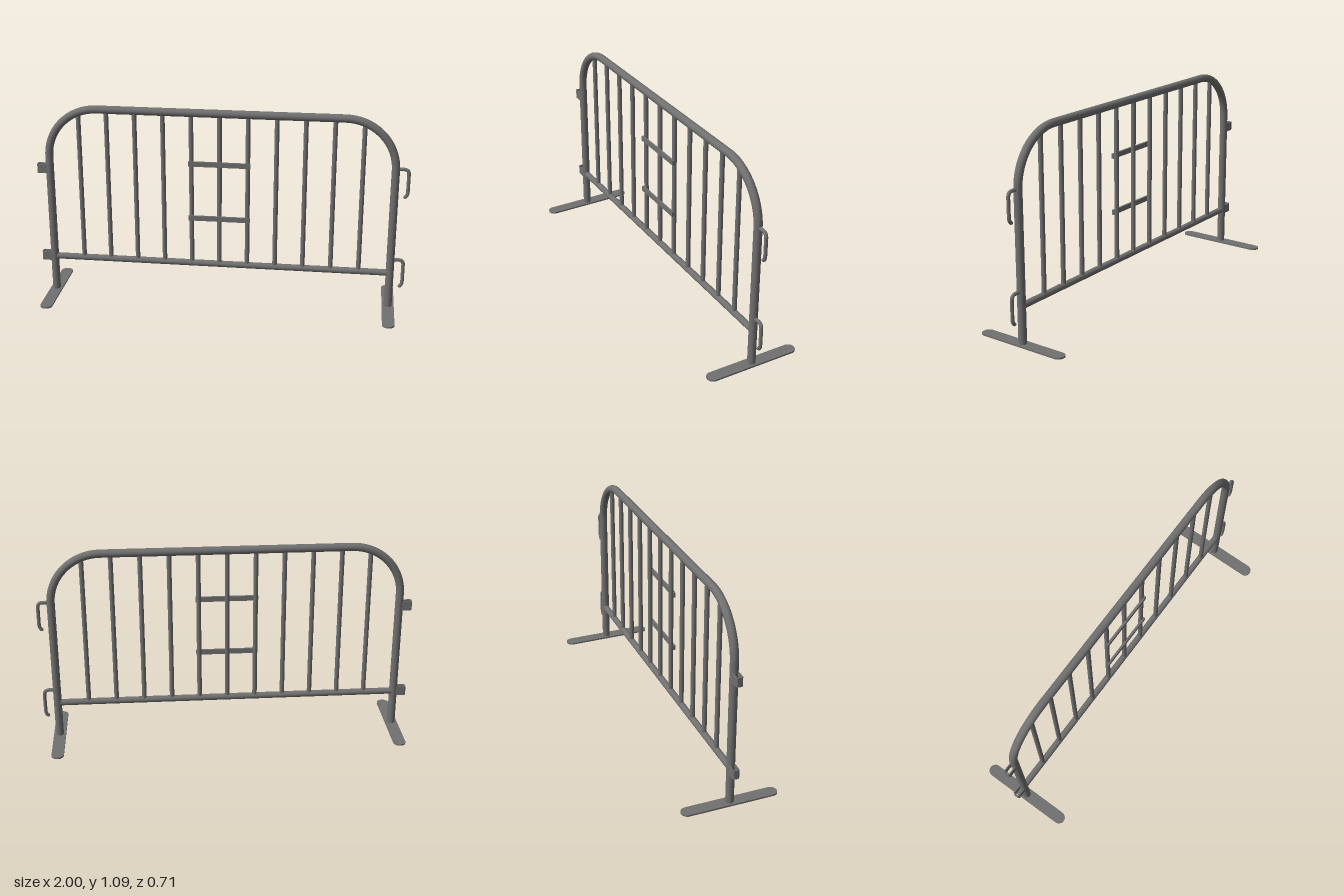
import * as THREE from 'three';

export function createModel() {
  const model = new THREE.Group();
  model.name = 'crowdBarrier';
  const steel = new THREE.MeshStandardMaterial({ color: 0x707070 });
  steel.name = 'galvanised steel';

  // the whole fence stands slightly turned
  const fence = new THREE.Group();
  fence.name = 'fence';
  fence.rotation.y = 0.105;
  fence.position.x = -0.006;
  model.add(fence);

  const add = (name, geometry, x = 0, y = 0, z = 0) => {
    const mesh = new THREE.Mesh(geometry, steel);
    mesh.name = name;
    mesh.position.set(x, y, z);
    fence.add(mesh);
    return mesh;
  };
  const upright = (name, r, x, y0, y1) =>
    add(name, new THREE.CylinderGeometry(r, r, y1 - y0, 20), x, (y0 + y1) / 2);
  const rail = (name, r, length, y) => {
    add(name, new THREE.CylinderGeometry(r, r, length, 20), 0, y).rotation.z = Math.PI / 2;
  };

  const halfWidth = 0.93, tubeR = 0.0215, topY = 1.066, bendR = 0.27;
  const bendX = halfWidth - bendR, bendY = topY - bendR;

  // flat foot with round ends, lying on the ground
  const footR = 0.033, footHalf = 0.226;
  const footShape = new THREE.Shape();
  footShape.absarc(0, footHalf, footR, 0, Math.PI);
  footShape.absarc(0, -footHalf, footR, Math.PI, Math.PI * 2);
  footShape.closePath();
  const footGeometry = new THREE.ExtrudeGeometry(footShape, {
    depth: 0.009, bevelEnabled: false, curveSegments: 16,
  });
  footGeometry.rotateX(-Math.PI / 2);

  // outer frame: posts, bends and feet on both sides
  for (const s of [-1, 1]) {
    upright('post', tubeR, s * halfWidth, 0.005, bendY);
    const bend = add('frameBend', new THREE.TorusGeometry(bendR, tubeR, 20, 24, Math.PI / 2), s * bendX, bendY);
    if (s < 0) bend.rotation.y = Math.PI;
    add('foot', footGeometry, s * halfWidth);
  }
  rail('topRail', tubeR, 2 * bendX, topY);
  rail('bottomRail', 0.0175, 2 * halfWidth - 0.02, 0.206);

  // infill bars
  for (let i = -5; i <= 5; i++) upright('bar', 0.0125, i * 0.152, 0.206, 1.048);

  // rungs fixed across the front of the middle bars
  for (const y of [0.477, 0.787]) {
    add('rung', new THREE.BoxGeometry(0.334, 0.027, 0.012), 0, y, 0.014);
  }

  // hooks on the left post
  const v = (x, y) => new THREE.Vector3(x, y, 0);
  const hookPath = new THREE.CurvePath();
  hookPath.add(new THREE.LineCurve3(v(0.93, 0), v(0.972, 0)));
  hookPath.add(new THREE.QuadraticBezierCurve3(v(0.972, 0), v(0.999, 0), v(0.999, -0.028)));
  hookPath.add(new THREE.LineCurve3(v(0.999, -0.028), v(0.999, -0.125)));
  hookPath.add(new THREE.QuadraticBezierCurve3(v(0.999, -0.125), v(0.999, -0.145), v(0.986, -0.154)));
  const hookGeometry = new THREE.TubeGeometry(hookPath, 48, 0.0095, 12);
  const tipGeometry = new THREE.SphereGeometry(0.0095, 12, 8);
  for (const y of [0.284, 0.801]) {
    add('hook', hookGeometry, 0, y);
    add('hookTip', tipGeometry, 0.986, y - 0.154);
  }

  // bent strip eyes on the right post that receive the hooks
  const outline = (target, x, w, r) => {
    target.moveTo(-0.925, -w);
    target.lineTo(-0.925, w);
    target.lineTo(x + r, w);
    target.quadraticCurveTo(x, w, x, w - r);
    target.lineTo(x, r - w);
    target.quadraticCurveTo(x, -w, x + r, -w);
    target.closePath();
    return target;
  };
  const eyeShape = outline(new THREE.Shape(), -0.998, 0.018, 0.01);
  const eyeHole = new THREE.Path();
  eyeHole.moveTo(-0.932, -0.012);
  eyeHole.lineTo(-0.932, 0.012);
  eyeHole.lineTo(-0.992, 0.012);
  eyeHole.lineTo(-0.992, -0.012);
  eyeHole.closePath();
  eyeShape.holes.push(eyeHole);
  const eyeGeometry = new THREE.ExtrudeGeometry(eyeShape, {
    depth: 0.05, bevelEnabled: false, curveSegments: 6,
  });
  eyeGeometry.rotateX(-Math.PI / 2);
  for (const y of [0.184, 0.7]) add('hookEye', eyeGeometry, 0, y);

  return model;
}
